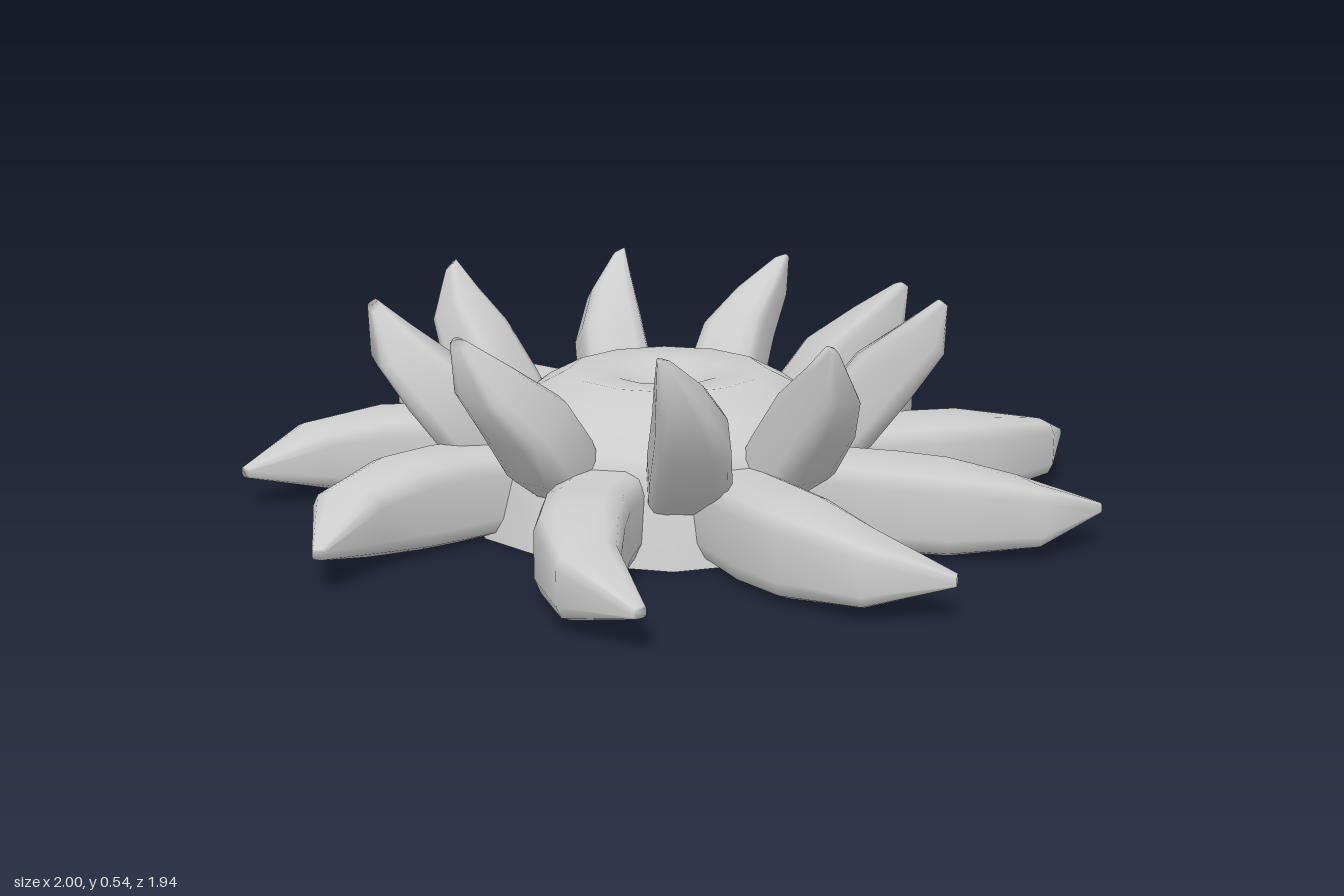
import * as THREE from 'three';

const material = new THREE.MeshStandardMaterial({ color: 0xcccccc, side: THREE.DoubleSide });
const RING = 12;
const DEG = Math.PI / 180;

// Each section: [inner edge u, inner edge v, outer edge u, outer edge v, half thickness, centre height]
// u runs along the petal, v across it.
const LOWER = [
  [0.31, 0.005, 0.31, 0.205, 0.092, 0],
  [0.55, 0.048, 0.55, 0.24, 0.104, 0],
  [0.65, 0.052, 0.69, 0.24, 0.1, 0],
  [0.78, 0.052, 0.88, 0.175, 0.074, -0.006],
  [0.965, -0.008, 0.985, 0.015, 0.012, -0.016],
];
const UPPER = [
  [0.02, -0.08, 0.02, 0.075, 0.05, 0.02],
  [0.16, -0.1, 0.16, 0.08, 0.08, 0],
  [0.28, -0.088, 0.31, 0.075, 0.08, -0.002],
  [0.4, -0.035, 0.43, 0.078, 0.058, -0.018],
  [0.5, 0.042, 0.515, 0.076, 0.014, 0],
];

// Rounded-box tube, open at the root and closed at the tip
function petalGeometry(sections) {
  const pos = [], index = [];
  const soft = (t) => Math.sign(t) * Math.pow(Math.abs(t), 0.5);
  for (const [iu, iv, ou, ov, h, y] of sections) {
    for (let j = 0; j < RING; j++) {
      const a = ((j + 0.5) / RING) * Math.PI * 2;
      const k = 0.5 + 0.5 * soft(Math.cos(a));
      pos.push(iu + (ou - iu) * k, y + h * soft(Math.sin(a)), iv + (ov - iv) * k);
    }
  }
  for (let i = 0; i < sections.length - 1; i++) {
    for (let j = 0; j < RING; j++) {
      const a = i * RING + j, c = i * RING + (j + 1) % RING;
      index.push(a, a + RING, c, c, a + RING, c + RING);
    }
  }
  const last = (sections.length - 1) * RING;
  for (let j = 1; j < RING - 1; j++) index.push(last, last + j + 1, last + j);
  const g = new THREE.BufferGeometry();
  g.setAttribute('position', new THREE.Float32BufferAttribute(pos, 3));
  g.setIndex(index);
  g.computeVertexNormals();
  return g;
}

export function createModel() {
  const model = new THREE.Group();

  // Flower heart: flared skirt, domed shoulder and small central dip, open below
  const profile = [[0.48, 0.008], [0.43, 0.19], [0.4, 0.235], [0.32, 0.295], [0.23, 0.342], [0.13, 0.335], [0.001, 0.295]]
    .map(([x, y]) => new THREE.Vector2(x, y));
  const heart = new THREE.Mesh(new THREE.LatheGeometry(profile, 12), material);
  heart.name = 'flowerHeart';
  model.add(heart);

  // Lower ring of long, flat petals: [tip angle, tip radius]
  const lowerGeometry = petalGeometry(LOWER);
  const lowerRing = new THREE.Group();
  lowerRing.name = 'lowerPetals';
  [[-100, 0.985], [-53, 0.985], [-17.5, 1.045], [18.5, 1.01], [55, 0.98],
    [94.5, 0.975], [140.5, 0.96], [180, 1.0], [225, 1.0]].forEach(([angle, radius]) => {
    const petal = new THREE.Mesh(lowerGeometry, material);
    petal.name = 'lowerPetal';
    petal.scale.x = radius / 0.985;
    petal.position.y = 0.112;
    petal.rotation.y = -angle * DEG;
    lowerRing.add(petal);
  });
  model.add(lowerRing);

  // Upper ring of short, raised petals: [root angle, root radius, length scale]
  const upperGeometry = petalGeometry(UPPER);
  const upperRing = new THREE.Group();
  upperRing.name = 'upperPetals';
  [[-106, 0.3, 1], [-64, 0.28, 1], [-18, 0.27, 1], [14, 0.32, 1.06], [55, 0.35, 1],
    [87, 0.37, 1], [128, 0.35, 1], [169, 0.37, 1], [214, 0.38, 1]].forEach(([angle, radius, length]) => {
    const pivot = new THREE.Group();
    pivot.name = 'upperPetal';
    pivot.rotation.y = -angle * DEG;
    const petal = new THREE.Mesh(upperGeometry, material);
    petal.name = 'upperPetalBlade';
    petal.position.set(radius, 0.1, 0);
    petal.rotation.z = 54 * DEG;
    petal.scale.x = length;
    pivot.add(petal);
    upperRing.add(pivot);
  });
  model.add(upperRing);

  return model;
}
